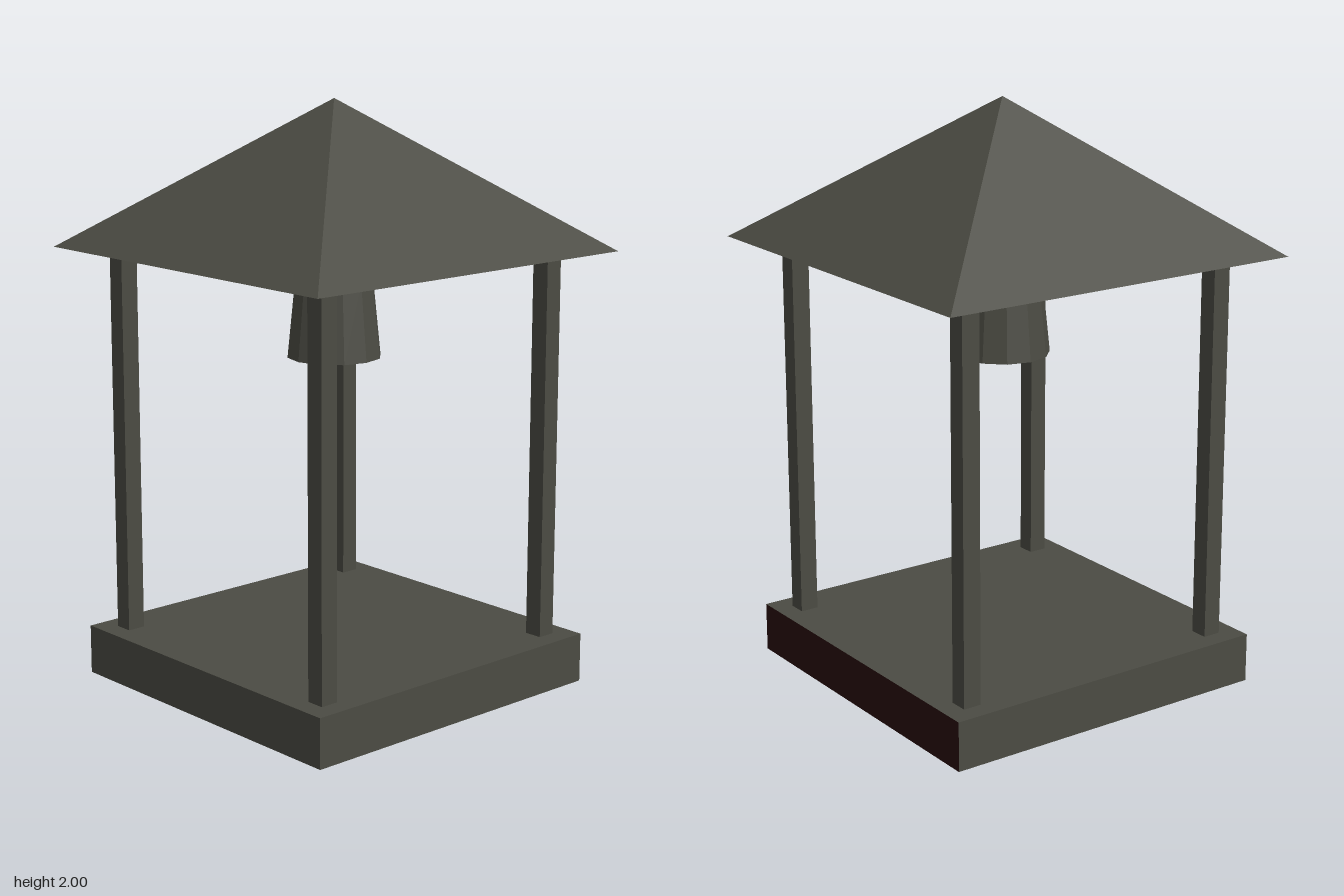
import * as THREE from 'three';

export function createModel() {
  const model = new THREE.Group();
  const stone = new THREE.MeshStandardMaterial({ color: 0x4b4b43, flatShading: true });
  stone.name = 'grey green';
  stone.side = THREE.DoubleSide;
  const red = new THREE.MeshStandardMaterial({ color: 0x280e0e });
  red.name = 'dark red';

  function add(name, geometry, x, y, z, material = stone) {
    const mesh = new THREE.Mesh(geometry, material);
    mesh.name = name;
    mesh.position.set(x, y, z);
    model.add(mesh);
    return mesh;
  }
  const box = (w, h, d) => new THREE.BoxGeometry(w, h, d);

  // Plinth with a dark red back face
  add('base', box(1.2, 0.17, 1.2), 0, 0.085, 0, [stone, stone, stone, stone, stone, red]);

  // Corner posts
  for (const x of [-0.5, 0.5]) {
    for (const z of [-0.5, 0.5]) add('post', box(0.064, 1.36, 0.064), x, 0.85, z);
  }

  // Eave beams between the posts
  for (const s of [-0.5, 0.5]) {
    add('eaveBeamAcross', box(0.936, 0.05, 0.064), 0, 1.505, s);
    add('eaveBeamAlong', box(0.064, 0.05, 0.936), s, 1.505, 0);
  }

  // Cross beam over the bell, with a red end panel on its back
  add('crossBeam', box(0.936, 0.05, 0.064), 0, 1.505, 0);
  add('crossBeamPanel', box(0.19, 0.048, 0.004), -0.373, 1.505, -0.033, red);

  // Bell
  add('bell', new THREE.CylinderGeometry(0.133, 0.16, 0.265, 12), 0, 1.27, 0);

  // Hollow pyramid roof
  const roof = new THREE.ConeGeometry(0.665 * Math.SQRT2, 0.5, 4, 1, true);
  roof.rotateY(Math.PI / 4);
  add('roof', roof, 0, 1.75, 0);

  return model;
}
